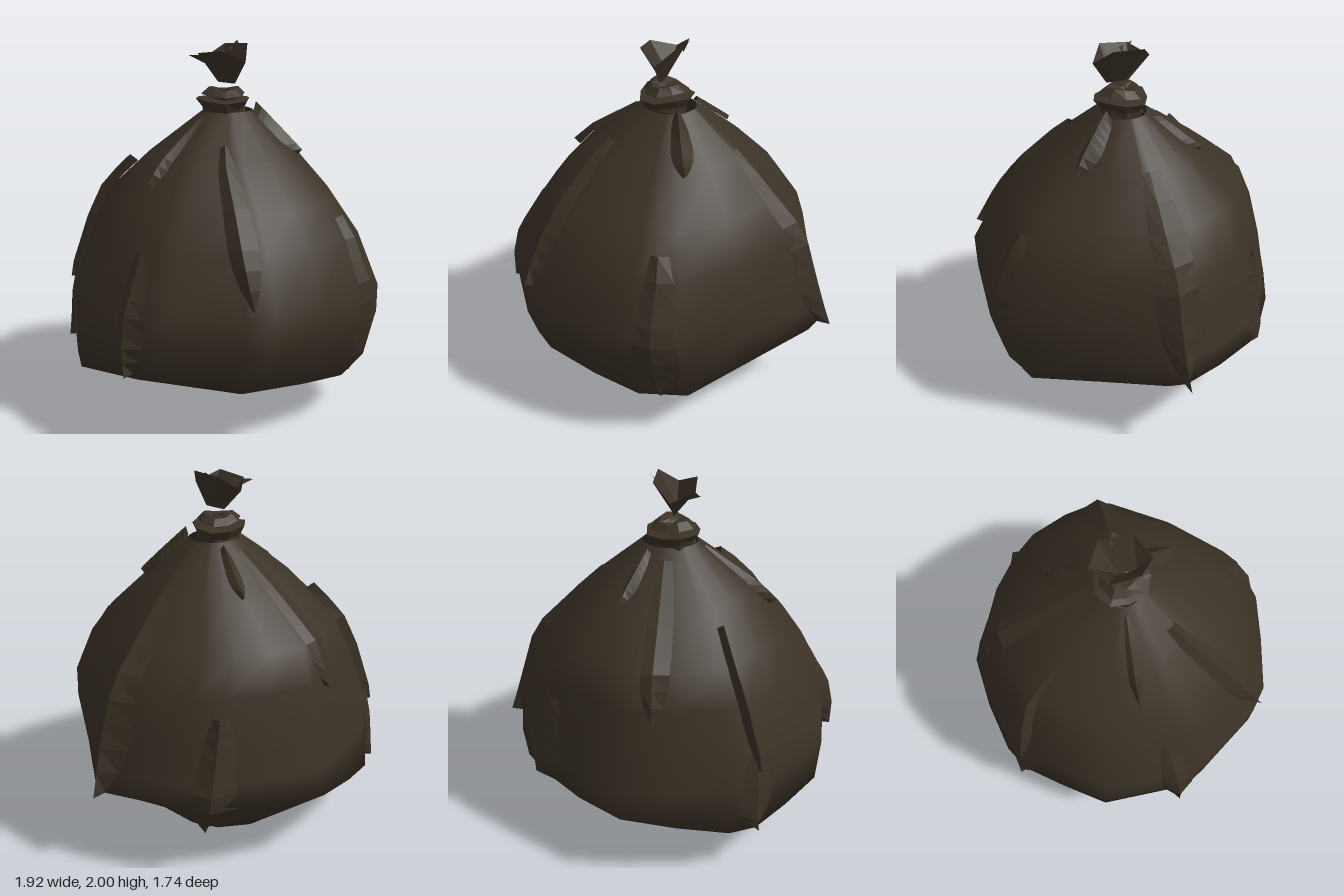
import * as THREE from 'three';

// Plan outline of the sack, scaled to unit half-widths, running +x, +z, -x, -z
const OUTLINE = [
  [1, 0], [0.96, 0.12], [0.69, 0.52], [0.41, 0.93], [0.11, 1], [-0.2, 0.96], [-0.53, 0.9],
  [-0.66, 0.8], [-0.92, 0.42], [-1, 0.29], [-1, 0], [-1, -0.28], [-0.83, -0.54], [-0.66, -0.78],
  [-0.51, -0.88], [-0.2, -0.96], [0.13, -1], [0.41, -0.86], [0.65, -0.68], [0.81, -0.52], [0.93, -0.25],
];
const N = OUTLINE.length;

// Height, reach to +x, -x, +z, -z, and roundness of each ring
const RINGS = [
  [0.35, 0.89, 0.89, 0.75, 0.88, 0],
  [0.55, 0.86, 0.91, 0.84, 0.85, 0],
  [0.72, 0.82, 0.89, 0.86, 0.82, 0.05],
  [1.0, 0.75, 0.76, 0.73, 0.75, 0.35],
  [1.18, 0.59, 0.65, 0.61, 0.68, 0.6],
  [1.4, 0.4, 0.46, 0.38, 0.42, 0.7],
  [1.63, 0.13, 0.17, 0.13, 0.12, 0.9],
];
const BASE = new THREE.Vector3(-0.07, 0, 0.17);

function buildRings() {
  const rings = RINGS.map(([y, xr, xl, zf, zb, round], k) => OUTLINE.map(([ox, oz]) => {
    const s = 1 - round + round / Math.hypot(ox, oz);
    const x = ox * s, z = oz * s;
    // The lower rim rises and falls around the sack
    const twist = x < 0 ? -0.2 * x * z : 0;
    const tilt = k ? 0 : 0.045 * x - 0.08 * z + 0.035 * x * x - 0.03 * z * z + twist;
    return new THREE.Vector3(x * (x > 0 ? xr : xl), y + tilt, z * (z > 0 ? zf : zb));
  }));
  // Sagging underside, lowest toward the back left
  const sag = rings[0].map((p) => {
    const d = p.clone().sub(BASE).setY(0).normalize();
    const droop = Math.max(0, d.x * 0.55 - d.z * 0.83) ** 4;
    const q = BASE.clone().lerp(p, 0.6 + 0.1 * droop);
    q.y -= 0.2 * droop;
    return q;
  });
  return [sag, ...rings];
}

function geometryFrom(points, index) {
  const g = new THREE.BufferGeometry();
  g.setAttribute('position', new THREE.Float32BufferAttribute(points.flatMap((p) => p.toArray()), 3));
  g.setIndex(index);
  return g;
}

function flat(geometry) {
  const g = geometry.toNonIndexed();
  g.computeVertexNormals();
  return g;
}

// Point on the sack wall at a plan angle (degrees) and height
function wallPoint(rings, deg, y) {
  const a = THREE.MathUtils.euclideanModulo(deg, 360);
  const ang = OUTLINE.map(([x, z]) => THREE.MathUtils.euclideanModulo(Math.atan2(z, x) * 180 / Math.PI, 360));
  ang.push(360);
  let i = 0;
  while (i < N - 1 && ang[i + 1] < a) i++;
  const t = (a - ang[i]) / (ang[i + 1] - ang[i]);
  const column = rings.map((r) => r[i].clone().lerp(r[(i + 1) % N], t));
  let k = 0;
  while (k < column.length - 2 && column[k + 1].y < y) k++;
  const f = THREE.MathUtils.clamp((y - column[k].y) / (column[k + 1].y - column[k].y), 0, 1);
  return column[k].lerp(column[k + 1], f);
}

// Raised pleat: a tapering ridge laid over the wall
function foldGeometry(rings, [a0, a1, y0, y1, width, h0, h1]) {
  const points = [], index = [], steps = 8;
  const taper = [0.4, 0.6, 0.75, 0.85, 0.95, 1, 0.9, 0.6, 0.1];
  for (let s = 0; s <= steps; s++) {
    const t = s / steps;
    const a = a0 + (a1 - a0) * t, y = y0 + (y1 - y0) * t;
    const mid = wallPoint(rings, a, y);
    const spread = width * taper[s] / Math.max(0.15, Math.hypot(mid.x, mid.z)) * 180 / Math.PI;
    [-1, 0.15, 1].forEach((side, j) => {
      const p = wallPoint(rings, a + side * spread, y);
      const out = new THREE.Vector3(p.x, (p.y - 0.6) * 0.6, p.z).normalize();
      points.push(p.addScaledVector(out, j === 1 ? 0.01 + h0 + (h1 - h0) * t : 0.004));
    });
    if (s < steps) for (let j = 0; j < 2; j++) {
      const b = s * 3 + j;
      index.push(b, b + 1, b + 3, b + 1, b + 4, b + 3);
    }
  }
  return flat(geometryFrom(points, index));
}

export function createModel() {
  const group = new THREE.Group();
  const plastic = new THREE.MeshStandardMaterial({ color: 0x3b3226, side: THREE.DoubleSide });
  plastic.name = 'dark plastic';
  const add = (name, geometry) => {
    const mesh = new THREE.Mesh(geometry, plastic);
    mesh.name = name;
    group.add(mesh);
  };

  // Sack
  const rings = buildRings();
  const points = [...rings.flat(), BASE];
  const index = [];
  for (let i = 0; i < N; i++) {
    const j = (i + 1) % N;
    index.push(points.length - 1, i, j);
    for (let k = 0; k < rings.length - 1; k++) {
      const a = k * N + i, b = k * N + j;
      index.push(a, a + N, b, b, a + N, b + N);
    }
  }
  const sack = geometryFrom(points, index);
  sack.computeVertexNormals();
  add('sack', sack);

  // Pleats: start and end angle, top and bottom height, half width, ridge height at top and bottom
  [
    [74, 75, 1.1, 0.24, 0.12, 0.02, 0.02],
    [133, 127, 1.47, 0.77, 0.08, 0.02, 0.04],
    [0, 0, 1.43, 0.43, 0.13, 0, 0.06],
    [180, 180, 1.6, 1.28, 0.04, 0, 0.04],
    [170, 167, 1.0, 0.4, 0.1, 0, 0.06],
    [266, 267, 1.58, 0.95, 0.08, 0, 0.02],
    [-44, -40, 0.9, 0.12, 0.12, 0.03, 0.04],
    [58, 60, 1.62, 1.39, 0.06, 0.05, 0.03],
    [231, 231, 1.33, 0.65, 0.03, 0.05, 0.03],
    [231, 230, 0.72, 0.29, 0.11, 0.01, 0.03],
    [-62, -62, 1.6, 1.4, 0.04, 0.02, 0.02],
  ].forEach((fold) => add('pleat', foldGeometry(rings, fold)));

  // Gathered collar with a crumpled rim
  const profile = [[0.12, 1.6], [0.12, 1.64], [0.15, 1.69], [0.08, 1.7], [0.12, 1.715], [0.08, 1.75], [0.03, 1.74]];
  const collar = new THREE.LatheGeometry(profile.map(([r, y]) => new THREE.Vector2(r, y)), 9);
  const pos = collar.attributes.position;
  for (let i = 0; i < pos.count; i++) {
    const a = Math.atan2(pos.getZ(i), pos.getX(i));
    const s = 1 + 0.08 * Math.sin(3 * a + 20 * pos.getY(i));
    pos.setXYZ(i, pos.getX(i) * s - 0.04, pos.getY(i) + 0.01 * Math.sin(2 * a), pos.getZ(i) * s);
  }
  add('collar', flat(collar));

  // Pinched tuft: two lips spreading from a narrow base
  const v = (x, y, z) => new THREE.Vector3(x, y, z);
  const lip = [v(0.06, 1.98, -0.09), v(0.06, 1.99, 0.08), v(-0.04, 1.9, 0.16),
    v(-0.15, 1.96, 0.08), v(-0.16, 1.94, -0.08), v(-0.04, 1.9, -0.16)];
  const foot = lip.map((p) => v(-0.04 + p.x * 0.03, 1.78, 0.02 + p.z * 0.4));
  const tuftIndex = [];
  for (let i = 0; i < 6; i++) {
    const j = (i + 1) % 6;
    tuftIndex.push(i + 6, i, j + 6, j + 6, i, j);
  }
  add('tuft', flat(geometryFrom([...lip, ...foot], tuftIndex)));

  // Loose corners of the tuft
  const corners = [v(0.03, 1.95, -0.04), v(0.085, 2, -0.02), v(0.07, 1.95, 0.03),
    v(-0.12, 1.88, -0.05), v(-0.19, 1.93, -0.12), v(-0.13, 1.93, -0.02)];
  add('tuft corners', flat(geometryFrom(corners, [0, 1, 2, 3, 4, 5])));

  return group;
}
